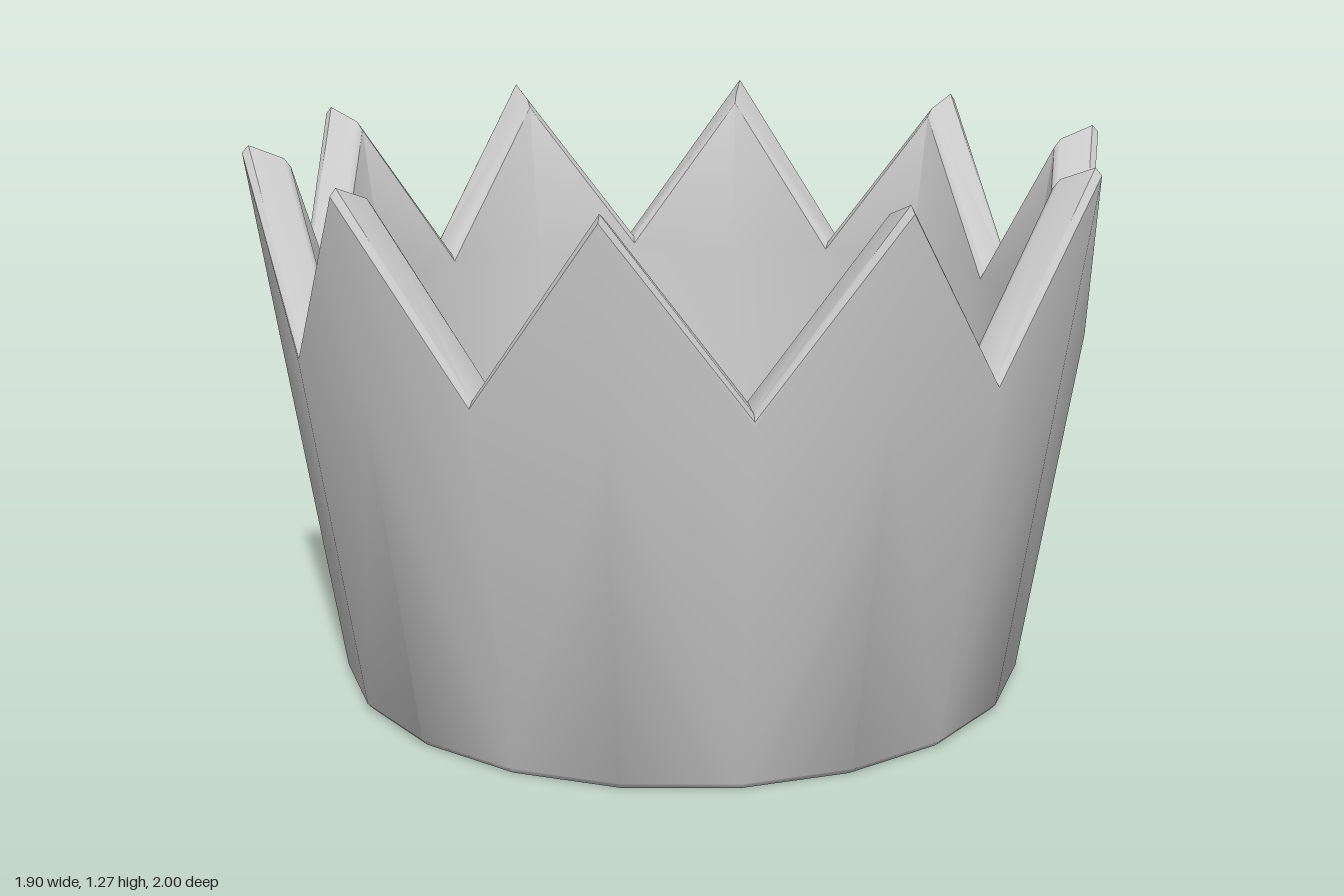
import * as THREE from 'three';
import { toCreasedNormals } from 'three/addons/utils/BufferGeometryUtils.js';

const COLUMNS = 20; // alternating spike tips and valleys

// Shared lower wall, as [radius, height] pairs: inner side, bevelled foot, outer side
const LOWER = [[0.84, 0.825], [0.732, 0.013], [0.742, 0], [0.797, 0], [0.81, 0.014], [0.936, 0.835]];
// Bevelled rims, outer side to inner side
const TIP = [[1, 1.257], [0.985, 1.273], [0.908, 1.242], [0.893, 1.222]];
const VALLEY = [[0.936, 0.848], [0.925, 0.862], [0.853, 0.867], [0.841, 0.85]];

// Joins the wall cross-sections around the vertical axis into a closed ring
function crownGeometry() {
  const positions = [], index = [];
  const rows = LOWER.length + TIP.length;
  for (let i = 0; i < COLUMNS; i++) {
    const angle = (i / COLUMNS) * Math.PI * 2;
    const section = [...LOWER, ...(i % 2 ? VALLEY : TIP)];
    for (const [r, y] of section) positions.push(r * Math.sin(angle), y, r * Math.cos(angle));
    const next = (i + 1) % COLUMNS;
    for (let j = 0; j < rows; j++) {
      const k = (j + 1) % rows;
      const a = i * rows + j, b = next * rows + j, c = next * rows + k, d = i * rows + k;
      // mirror the diagonal on each side of a spike
      if (i % 2) index.push(a, b, c, a, c, d);
      else index.push(a, b, d, b, c, d);
    }
  }
  const geometry = new THREE.BufferGeometry();
  geometry.setAttribute('position', new THREE.Float32BufferAttribute(positions, 3));
  geometry.setIndex(index);
  return toCreasedNormals(geometry, 0.6);
}

export function createModel() {
  const group = new THREE.Group();
  group.name = 'crown';
  const band = new THREE.Mesh(crownGeometry(), new THREE.MeshStandardMaterial({ color: 0xcccccc }));
  band.name = 'spikedBand';
  group.add(band);
  return group;
}
